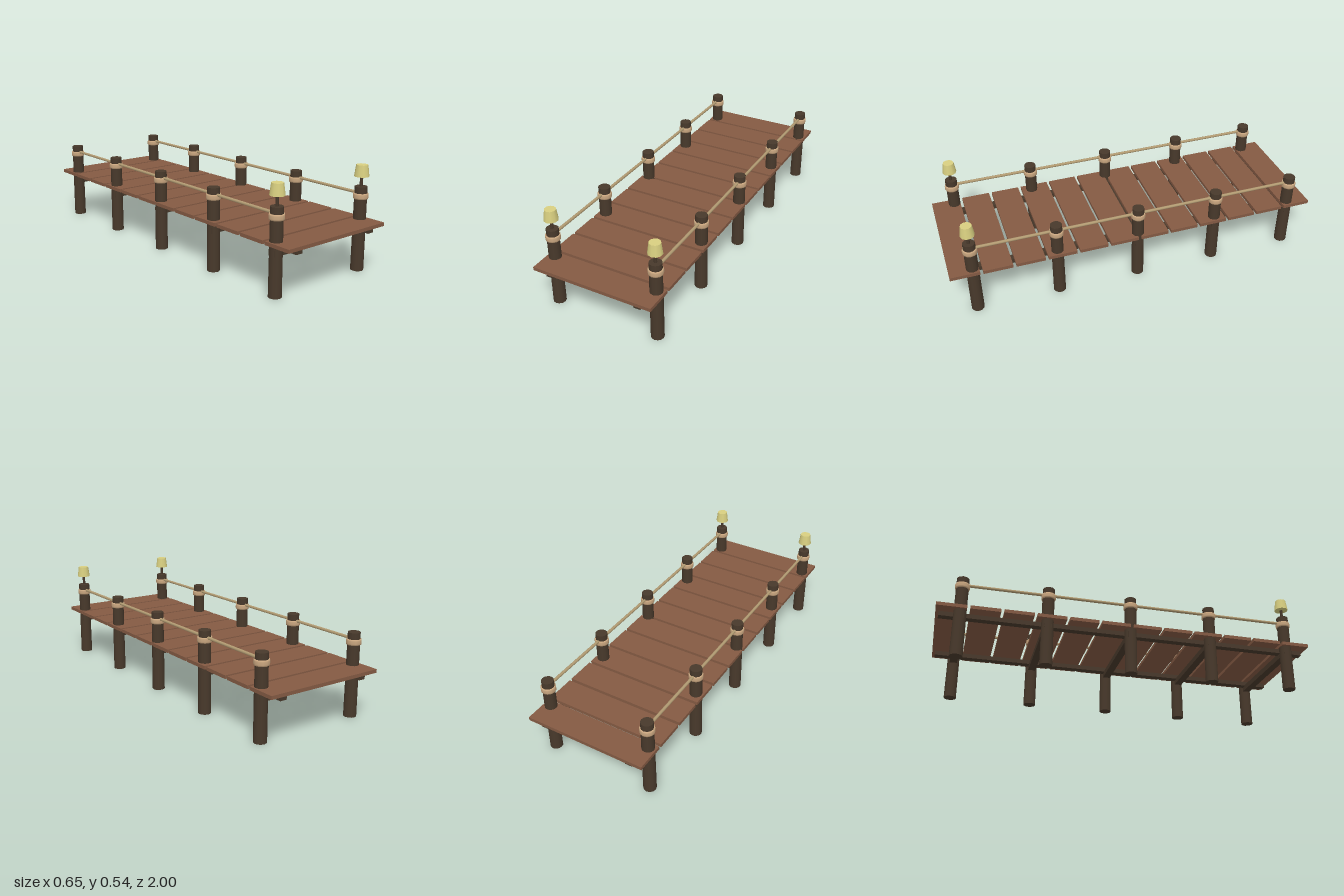
import * as THREE from 'three';

const paint = (name, color) => {
  const m = new THREE.MeshStandardMaterial({ color });
  m.name = name;
  return m;
};

export function createModel() {
  const plankWood = paint('plank wood', 0x845a43);
  const darkWood = paint('dark wood', 0x48392b);
  const railRope = paint('rail rope', 0xb29b72);
  const bindingRope = paint('binding rope', 0xc9a67f);
  const lampShade = paint('lamp shade', 0xd8cf80);

  const model = new THREE.Group();
  model.name = 'pier';
  const add = (name, geometry, material, x, y, z) => {
    const mesh = new THREE.Mesh(geometry, material);
    mesh.name = name;
    mesh.position.set(x, y, z);
    model.add(mesh);
    return mesh;
  };

  // Deck planks, evenly spaced along z
  const count = 12, plankDepth = 0.152;
  const plank = new THREE.BoxGeometry(0.65, 0.018, plankDepth);
  for (let i = 0; i < count; i++) {
    const z = -1 + plankDepth / 2 + i * (2 - plankDepth) / (count - 1);
    add('plank', plank, plankWood, 0, 0.257, z);
  }

  // Shared shapes for the posts, their bindings and the beams
  const post = new THREE.CylinderGeometry(0.0315, 0.033, 0.43, 12);
  const binding = new THREE.LatheGeometry(
    [[0.03, 0], [0.0365, 0], [0.038, 0.007], [0.038, 0.021], [0.0365, 0.028], [0.03, 0.028]]
      .map(([r, y]) => new THREE.Vector2(r, y)), 12);
  const crossBeam = new THREE.BoxGeometry(0.622, 0.03, 0.04);
  const postX = 0.285, postZ = [-0.88, -0.44, 0, 0.44, 0.88];

  // Cross beam at each pair of posts
  for (const z of postZ) add('crossBeam', crossBeam, darkWood, 0, 0.215, z);

  for (const side of [-1, 1]) {
    const x = side * postX;
    // Posts with rope bindings
    for (const z of postZ) {
      add('post', post, darkWood, x, 0.215, z);
      add('ropeBinding', binding, bindingRope, x, 0.369, z);
    }
    // Long beam under the planks
    add('stringer', new THREE.BoxGeometry(0.037, 0.024, 1.97), darkWood, side * 0.2435, 0.236, 0);
    // Rope rail along the posts
    add('ropeRail', new THREE.CylinderGeometry(0.008, 0.008, 1.76, 8), railRope, x, 0.395, 0)
      .rotation.x = Math.PI / 2;
    // Lamp on the front post
    add('lampStem', new THREE.CylinderGeometry(0.008, 0.008, 0.06, 8), darkWood, x, 0.455, 0.88);
    add('lampShade', new THREE.CylinderGeometry(0.029, 0.037, 0.058, 10), lampShade, x, 0.509, 0.88);
  }
  return model;
}
